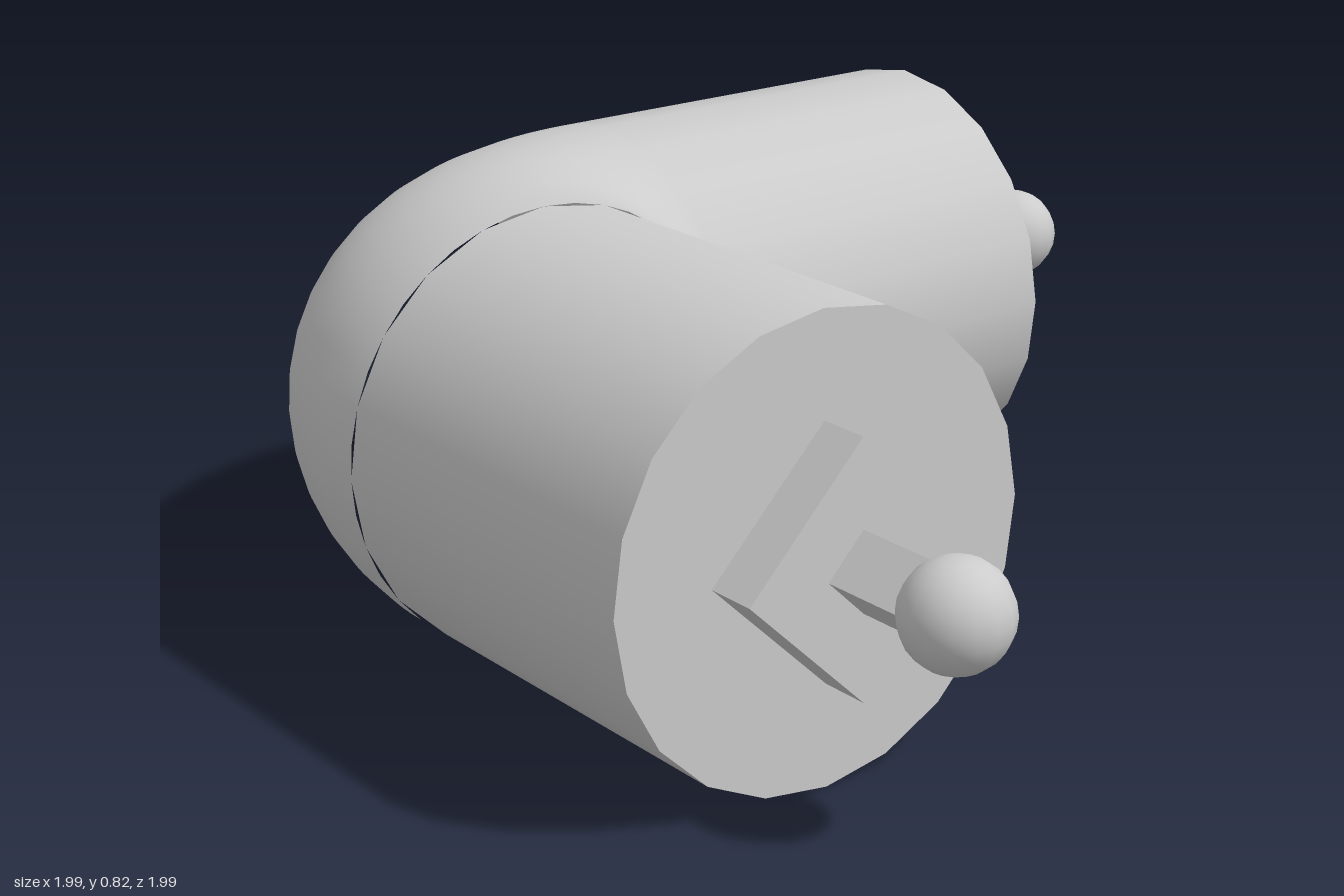
import * as THREE from 'three';

const R = 0.409;      // pipe radius, also the bend radius
const AXIS = -0.59;   // offset of each arm's axis
const BEND = AXIS + R; // where the straight arms meet the elbow
const END = 0.587;    // open end of each arm

const material = new THREE.MeshStandardMaterial({ color: 0xcccccc });

function part(name, geometry, parent) {
  const mesh = new THREE.Mesh(geometry, material);
  mesh.name = name;
  parent.add(mesh);
  return mesh;
}

// Box turned on its corner, running along z from z0 to z1
function diamond(halfDiagonal, z0, z1) {
  const side = halfDiagonal * Math.SQRT2;
  return new THREE.BoxGeometry(side, side, z1 - z0)
    .rotateZ(Math.PI / 4)
    .translate(0, 0, (z0 + z1) / 2);
}

// Straight pipe along +z with its end plate, stem and ball
function createArm(name) {
  const arm = new THREE.Group();
  arm.name = name;
  const length = END - BEND;
  part('pipe', new THREE.CylinderGeometry(R, R, length, 20)
    .rotateX(Math.PI / 2).translate(0, 0, BEND + length / 2), arm);
  part('endPlate', diamond(0.225, END, 0.682), arm);
  part('stem', diamond(0.071, 0.682, 0.88), arm);
  part('ball', new THREE.SphereGeometry(0.094, 16, 12).translate(0, 0, 0.9), arm);
  return arm;
}

export function createModel() {
  const model = new THREE.Group();
  model.name = 'pipeElbow';

  // Quarter bend, tight enough that its inner edge closes to a point
  part('elbow', new THREE.TorusGeometry(R, R, 40, 32, Math.PI / 2)
    .rotateZ(Math.PI).rotateX(Math.PI / 2).translate(BEND, R, BEND), model);

  // Arm towards the front
  const frontArm = createArm('frontArm');
  frontArm.position.set(AXIS, R, 0);

  // Arm towards the model's left
  const leftArm = createArm('leftArm');
  leftArm.rotation.y = Math.PI / 2;
  leftArm.position.set(0, R, AXIS);

  model.add(frontArm, leftArm);
  return model;
}
